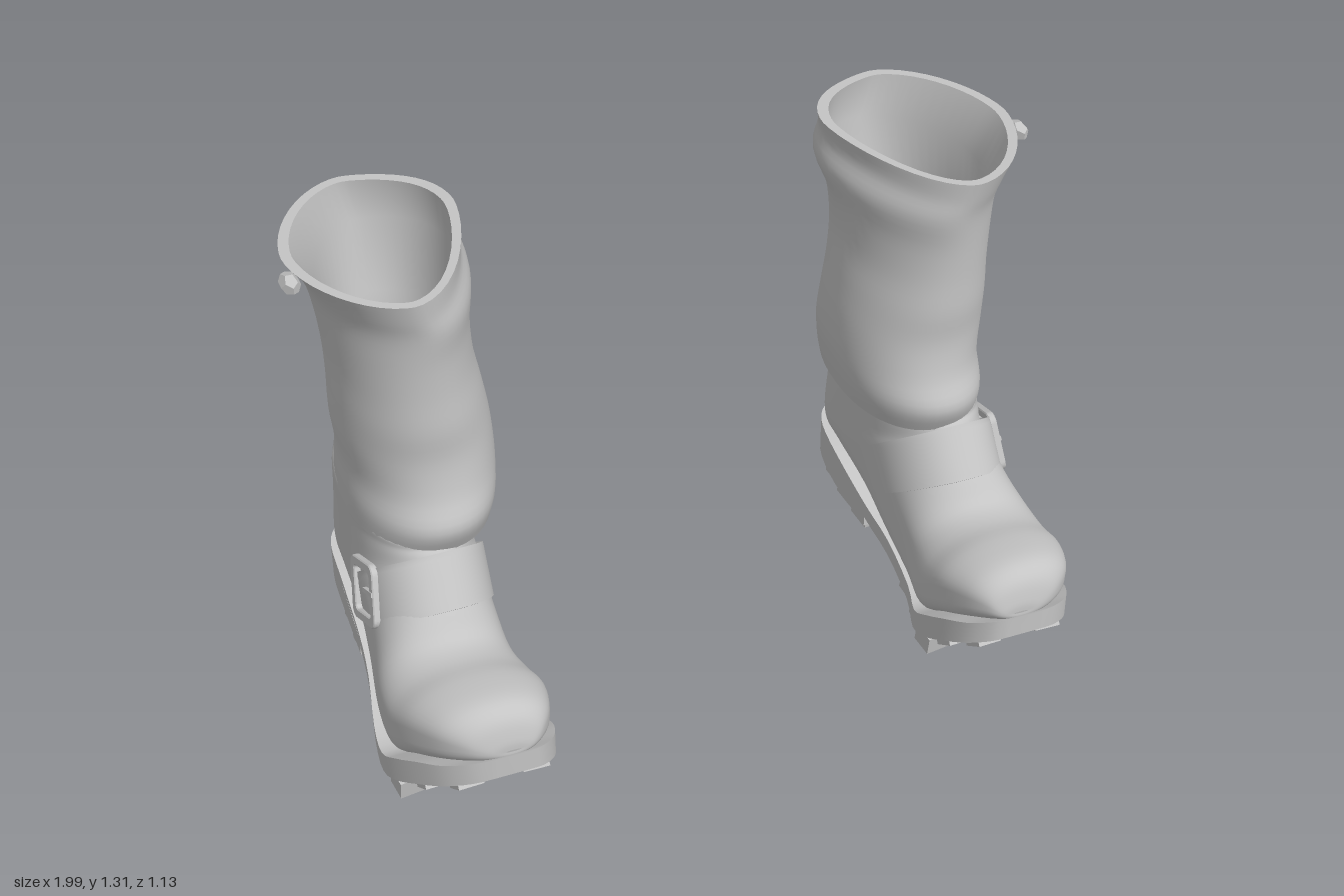
import * as THREE from 'three';
import { toCreasedNormals } from 'three/addons/utils/BufferGeometryUtils.js';

const grey = new THREE.MeshStandardMaterial({ color: 0xc4c4c4, side: THREE.DoubleSide });
grey.name = 'grey leather';

function part(name, geometry, parent) {
  const mesh = new THREE.Mesh(geometry, grey);
  mesh.name = name;
  parent.add(mesh);
  return mesh;
}

// Skin a list of rings (arrays of points); rings may be closed or open
function loft(rings, { closed = true, caps = false } = {}) {
  const n = rings[0].length, pos = [], index = [];
  rings.forEach(r => r.forEach(p => pos.push(...p)));
  for (let i = 0; i < rings.length - 1; i++)
    for (let j = 0; j < (closed ? n : n - 1); j++) {
      const k = (j + 1) % n, a = i * n + j, b = i * n + k;
      index.push(a, a + n, b, b, a + n, b + n);
    }
  if (caps) [0, rings.length - 1].forEach((r, end) => {
    const c = pos.length / 3;
    pos.push(...[0, 1, 2].map(d => rings[r].reduce((s, p) => s + p[d], 0) / n));
    for (let j = 0; j < n; j++) {
      const a = r * n + j, b = r * n + (j + 1) % n;
      index.push(...(end ? [c, b, a] : [c, a, b]));
    }
  });
  const g = new THREE.BufferGeometry();
  g.setAttribute('position', new THREE.Float32BufferAttribute(pos, 3));
  g.setIndex(index);
  g.computeVertexNormals();
  return g;
}

// Smoothly add rows between the given parameter rows
function refine(rows, steps) {
  const out = [], at = i => rows[Math.min(Math.max(i, 0), rows.length - 1)];
  for (let i = 0; i < rows.length - 1; i++)
    for (let s = 0; s < steps; s++) {
      const t = s / steps;
      out.push(rows[i].map((p, d) => {
        const m0 = (at(i + 1)[d] - at(i - 1)[d]) / 2, m1 = (at(i + 2)[d] - p) / 2, q = at(i + 1)[d];
        return (2 * t ** 3 - 3 * t * t + 1) * p + (t ** 3 - 2 * t * t + t) * m0
          + (3 * t * t - 2 * t ** 3) * q + (t ** 3 - t * t) * m1;
      }));
    }
  out.push(rows[rows.length - 1]);
  return out;
}

// Tilted superellipse ring: front z,y  back z,y  inner x, outer x, front power, back power, inner skew
function ring([fz, fy, bz, by, x0, x1, nf, nb, skew = 0], from = 0, to = 2 * Math.PI, count = 48, open = false) {
  const pts = [];
  for (let j = 0; j < count; j++) {
    const a = from + (to - from) * j / (open ? count - 1 : count);
    const c = Math.cos(a), s = Math.sin(a), e = 2 / (c > 0 ? nf : nb);
    const u = Math.sign(c) * Math.abs(c) ** e, v = Math.sign(s) * Math.abs(s) ** e;
    pts.push([
      (x0 + x1) / 2 + (x1 - x0) / 2 * v,
      (fy + by) / 2 + (fy - by) / 2 * u,
      (fz + bz) / 2 + (fz - bz) / 2 * u - skew * Math.max(0, -v) ** 2,
    ]);
  }
  return pts;
}

// Sections fanning from the toe, over the instep, to the ankle collar
const FOOT = [
  [.556, .285, .556, .28, .675, .715, 2, 2],
  [.552, .315, .555, .265, .64, .76, 2, 2.2],
  [.53, .368, .532, .25, .605, .815, 2.1, 2.8],
  [.48, .395, .47, .22, .572, .868, 2.1, 4],
  [.38, .388, .37, .165, .548, .91, 2.1, 5],
  [.29, .37, .25, .09, .55, .93, 2, 5],
  [.22, .38, .12, .10, .57, .925, 2, 5],
  [.17, .43, -.05, .145, .575, .90, 2.1, 5],
  [.13, .475, -.2, .2, .575, .885, 2.2, 5],
  [.10, .515, -.38, .24, .57, .88, 2.2, 5],
  [.09, .535, -.505, .255, .568, .88, 2.2, 3.6],
  [.08, .55, -.533, .38, .565, .88, 2.2, 2.6],
  [.07, .56, -.533, .48, .565, .88, 2.2, 2.3],
  [.065, .57, -.515, .59, .565, .88, 2.2, 2.2],
  [.05, .57, -.49, .59, .58, .86, 2.2, 2.2],
];
// Shaft from hem to flared rim
const SHAFT = [
  [.07, .545, -.50, .57, .51, .882, 2.2, 2.3, 0],
  [.10, .62, -.503, .62, .498, .88, 2.1, 2.3, 0],
  [.07, .70, -.485, .70, .49, .875, 2.1, 2.3, 0],
  [.055, .80, -.467, .80, .495, .885, 2.1, 2.3, 0],
  [.062, .90, -.468, .90, .51, .885, 2.1, 2.2, .01],
  [.062, 1.0, -.494, 1.0, .525, .885, 2.1, 2.1, .02],
  [.068, 1.1, -.53, 1.1, .52, .895, 2, 1.9, .04],
  [.08, 1.19, -.562, 1.18, .497, .91, 1.9, 1.8, .08],
  [.09, 1.25, -.56, 1.25, .512, .935, 1.8, 1.75, .1],
  [.10, 1.305, -.55, 1.30, .503, .972, 1.7, 1.7, .11],
];
// Tucks the hem and the lining into the ankle collar
const TUCK = [.04, .56, -.485, .58, .585, .855, 2.2, 2.2, 0];
const LINING = [
  SHAFT[9],
  [.075, 1.305, -.523, 1.30, .53, .945, 1.7, 1.7, .1],
  [.05, 1.2, -.53, 1.18, .522, .885, 1.9, 1.8, .08],
  [.04, 1.0, -.465, 1.0, .548, .865, 2.1, 2.1, .02],
  [.035, .8, -.445, .8, .52, .865, 2.1, 2.2, 0],
  [.045, .64, -.47, .64, .53, .86, 2.1, 2.2, 0],
  TUCK,
];
// Outsole stations: z, inner x, outer x, top y, bottom y
const SOLE = [
  [.565, .655, .74, .275, .215], [.55, .615, .80, .268, .203], [.5, .572, .86, .24, .172],
  [.42, .545, .905, .2, .125], [.33, .538, .937, .145, .07], [.25, .545, .95, .1, .038],
  [.15, .575, .94, .1, .05], [0, .585, .908, .14, .092], [-.13, .573, .893, .18, .133],
  [-.3, .563, .888, .237, .2], [-.42, .573, .88, .257, .21], [-.48, .60, .85, .266, .215],
  [-.518, .65, .80, .272, .22],
];
const heelY = z => .085 + (-.14 - z) * .16;

function soleAt(z) {
  const i = Math.max(1, SOLE.findIndex(s => s[0] <= z)), a = SOLE[i - 1], b = SOLE[i];
  const t = (z - a[0]) / (b[0] - a[0]);
  return a.map((v, d) => v + (b[d] - v) * t);
}
const block = ([z, x0, x1, yt, yb]) => [[x0, yb, z], [x0, yt, z], [x1, yt, z], [x1, yb, z]];

// One row of three tread lugs resting on the given bottom height and slope
function lugRow(parent, name, z, bottom, slope, length) {
  const height = .055, reach = length / 2 * Math.sign(z);
  const ends = [soleAt(z - reach), soleAt(z + reach)];
  const x0 = Math.max(ends[0][1], ends[1][1]), x1 = Math.min(ends[0][2], ends[1][2]), w = x1 - x0;
  [-1, 0, 1].forEach(side => {
    const lug = part(name, new THREE.BoxGeometry(w * (side ? .27 : .3), height, length), parent);
    lug.position.set((x0 + x1) / 2 + side * w * .35, bottom + height / 2, z + (side ? 0 : -.012));
    lug.rotation.set(-Math.atan(slope), side * -.12, 0);
  });
}

function roundedRect(Type, w, h, r) {
  const s = new Type();
  s.absarc(w - r, h - r, r, 0, Math.PI / 2);
  s.absarc(r - w, h - r, r, Math.PI / 2, Math.PI);
  s.absarc(r - w, r - h, r, Math.PI, Math.PI * 1.5);
  s.absarc(w - r, r - h, r, Math.PI * 1.5, Math.PI * 2);
  s.closePath();
  return s;
}

function makeBoot() {
  const boot = new THREE.Group();
  part('foot', loft(refine(FOOT, 4).map(r => ring(r))), boot);
  part('shaft', toCreasedNormals(loft([TUCK, ...refine(SHAFT, 4)].map(r => ring(r))), .9), boot);
  part('lining', toCreasedNormals(loft(LINING.map(r => ring(r))), .9), boot);

  // Sole, heel and tread
  part('sole', toCreasedNormals(loft(refine(SOLE, 3).map(block), { caps: true }), .6), boot);
  const heel = refine(SOLE.slice(8), 3).map(([z, x0, x1, yt]) => block([z, x0, x1, yt - .02, heelY(z) + .02]));
  part('heel', toCreasedNormals(loft(heel, { caps: true }), .6), boot);
  [[.485, .15, .66], [.395, .095, .64], [.29, .003, -.15], [.205, .02, -.2], [.12, .042, -.25]]
    .forEach(([z, bottom, slope]) => lugRow(boot, 'soleLug', z, bottom, slope, .064));
  [[-.178, .075], [-.268, .066], [-.352, .066], [-.455, .1]]
    .forEach(([z, length]) => lugRow(boot, 'heelLug', z, heelY(z), -.16, length));

  // Instep strap with sunk edges and a rounded outer tip
  const low = [.172, .435, -.2, .17, .564, .896, 2.15, 3], high = [.092, .56, -.30, .25, .56, .893, 2.2, 3];
  const sunk = r => [r[0] - .03, r[1] - .03, r[2], r[3], r[4] + .03, r[5] - .03, r[6], r[7]];
  const strap = [];
  for (let i = 0; i <= 10; i++) {
    const t = i / 10, row = low.map((v, d) => v + (high[d] - v) * t);
    const tip = 1.86 - .4 * Math.abs(2 * t - 1) ** 3;
    if (i === 0) strap.push(ring(sunk(row), -1.75, tip, 40, true));
    strap.push(ring(row, -1.75, tip, 40, true));
    if (i === 10) strap.push(ring(sunk(row), -1.75, tip, 40, true));
  }
  part('strap', toCreasedNormals(loft(strap, { closed: false }), .6), boot);

  // Buckle on the outer side
  const buckle = new THREE.Group();
  buckle.name = 'buckle';
  const frame = roundedRect(THREE.Shape, .075, .082, .025);
  frame.holes.push(roundedRect(THREE.Path, .055, .062, .015));
  part('buckleFrame', new THREE.ExtrudeGeometry(frame, {
    depth: .014, bevelEnabled: true, bevelSize: .003, bevelThickness: .003, bevelSegments: 1, curveSegments: 5,
  }), buckle);
  part('buckleProng', new THREE.BoxGeometry(.06, .012, .012), buckle).position.set(-.045, .01, .014);
  buckle.position.set(.882, .4, -.025);
  buckle.rotation.set(-.15, Math.PI / 2 - .07, -.35, 'YXZ');
  boot.add(buckle);

  // Small worn tab at the outer rim
  const tab = part('rimTab', new THREE.DodecahedronGeometry(.026), boot);
  tab.position.set(.973, 1.28, -.15);
  tab.scale.set(1, .9, 1.7);
  return boot;
}

export function createModel() {
  const model = new THREE.Group();
  model.name = 'boots';
  const left = makeBoot(), right = makeBoot();
  left.name = 'leftBoot';
  right.name = 'rightBoot';
  right.scale.x = -1;
  model.add(left, right);
  return model;
}
